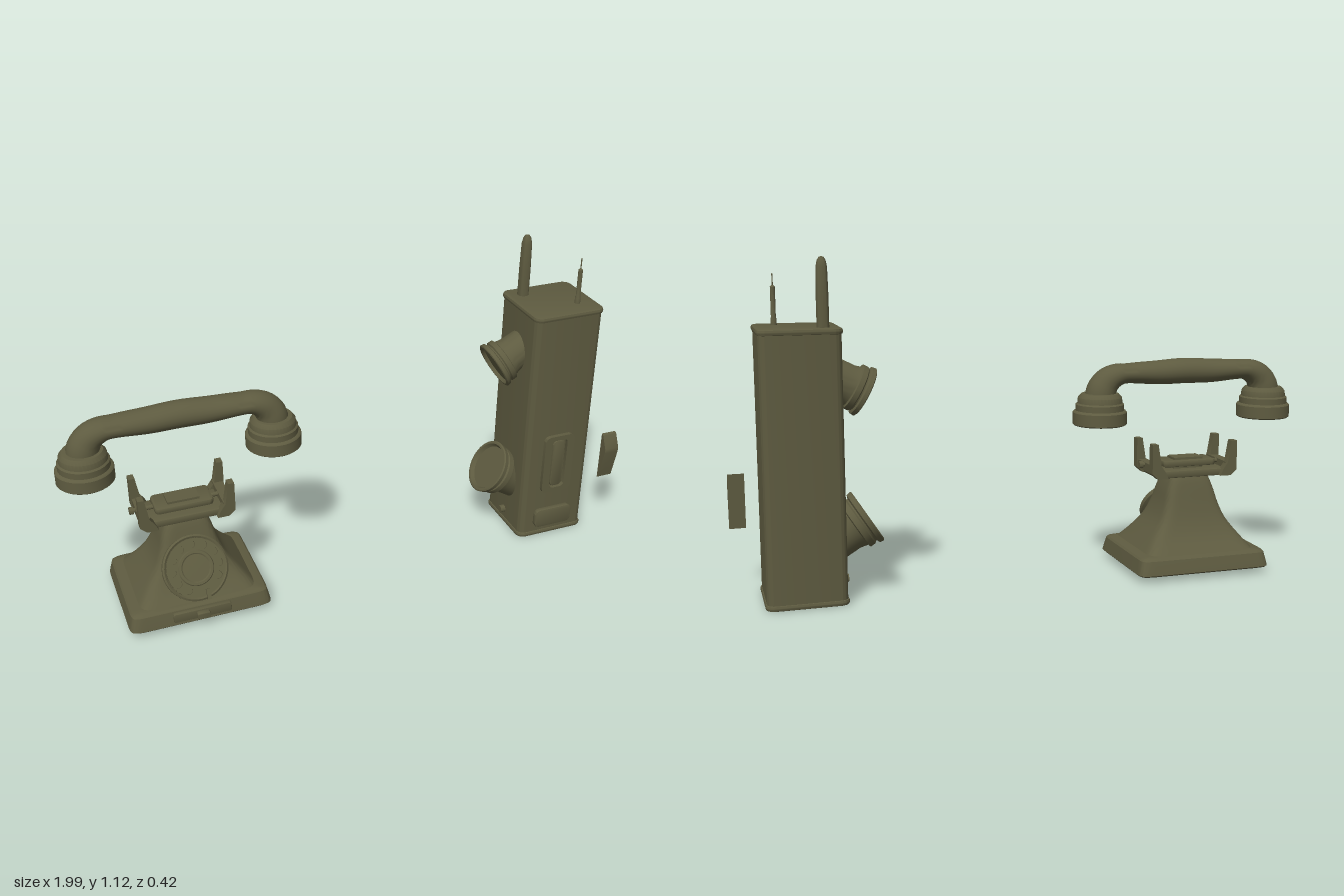
import * as THREE from 'three';
import { toCreasedNormals } from 'three/addons/utils/BufferGeometryUtils.js';

const material = new THREE.MeshStandardMaterial({ color: 0x5e5b40 });
const V3 = (x, y, z) => new THREE.Vector3(x, y, z);
const UP = V3(0, 1, 0);

function add(parent, name, geometry, x = 0, y = 0, z = 0, crease = 0.6) {
  const mesh = new THREE.Mesh(toCreasedNormals(geometry, crease), material);
  mesh.name = name;
  mesh.position.set(x, y, z);
  parent.add(mesh);
  return mesh;
}

const lathe = (pts, segs = 40) =>
  new THREE.LatheGeometry(pts.map(([r, y]) => new THREE.Vector2(r, y)), segs);
const box = (w, h, d) => new THREE.BoxGeometry(w, h, d);
const polygon = pts => new THREE.Shape(pts.map(([x, y]) => new THREE.Vector2(x, y)));

function roundedRect(w, h, r) {
  const s = new THREE.Shape(), a = w / 2 - r, b = h / 2 - r;
  s.absarc(a, b, r, 0, Math.PI / 2);
  s.absarc(-a, b, r, Math.PI / 2, Math.PI);
  s.absarc(-a, -b, r, Math.PI, Math.PI * 1.5);
  s.absarc(a, -b, r, Math.PI * 1.5, Math.PI * 2);
  s.closePath();
  return s;
}

// Rounded plate from z = 0 to z = depth, with bevelled rims; w and h are outer sizes
function plate(w, h, depth, r, bevel = 0) {
  return new THREE.ExtrudeGeometry(roundedRect(w - 2 * bevel, h - 2 * bevel, r), {
    depth: depth - 2 * bevel, bevelEnabled: bevel > 0, bevelSize: bevel,
    bevelThickness: bevel, bevelSegments: 2, curveSegments: 8,
  }).translate(0, 0, bevel);
}
const upright = g => g.rotateX(-Math.PI / 2);

// Skin over a list of equal-length rings, closed at both ends
function loft(rings) {
  const n = rings[0].length, pos = [], index = [];
  rings.forEach(r => r.forEach(p => pos.push(p.x, p.y, p.z)));
  for (let i = 0; i < rings.length - 1; i++)
    for (let j = 0; j < n; j++) {
      const k = (j + 1) % n, a = i * n + j, b = i * n + k;
      index.push(a, b, b + n, a, b + n, a + n);
    }
  const last = (rings.length - 1) * n;
  for (let j = 1; j < n - 1; j++) index.push(0, j + 1, j, last, last + j, last + j + 1);
  const g = new THREE.BufferGeometry();
  g.setAttribute('position', new THREE.Float32BufferAttribute(pos, 3));
  g.setIndex(index);
  return g;
}

// Horizontal rounded-square ring
function squareRing(hx, y, hz, power = 0.25) {
  const bend = v => Math.sign(v) * Math.pow(Math.abs(v), power);
  return Array.from({ length: 48 }, (_, i) => {
    const a = (i / 48) * Math.PI * 2;
    return V3(hx * bend(Math.sin(a)), y, hz * bend(Math.cos(a)));
  });
}

function rotaryDial() {
  const g = new THREE.Group();
  g.name = 'rotaryDial';
  add(g, 'dialMount', lathe([[0, -0.1], [0.085, -0.1], [0.095, -0.03], [0.112, -0.024],
    [0.112, -0.008], [0.106, -0.003], [0.1, -0.008], [0, -0.008]]));
  const wheel = new THREE.Shape().absarc(0, 0, 0.1, 0, Math.PI * 2);
  for (let i = 0; i < 10; i++) {
    const a = -0.5 + (i / 12) * Math.PI * 2;
    wheel.holes.push(new THREE.Path().absarc(0.08 * Math.cos(a), 0.08 * Math.sin(a), 0.013, 0, Math.PI * 2, true));
  }
  add(g, 'fingerWheel', upright(new THREE.ExtrudeGeometry(wheel, { depth: 0.008, bevelEnabled: false, curveSegments: 16 })), 0, -0.007);
  add(g, 'dialCentre', lathe([[0.062, 0], [0.058, 0.005], [0.05, 0.005], [0.046, 0.002], [0, 0.004]]));
  add(g, 'fingerStop', box(0.014, 0.014, 0.035), 0.025, 0.004, 0.094);
  g.quaternion.setFromUnitVectors(UP, V3(0, 0.53, 0.85).normalize());
  g.position.set(0, 0.203, 0.145);
  return g;
}

function cradle() {
  const g = new THREE.Group();
  g.name = 'cradle';
  add(g, 'cradleDeck', upright(plate(0.27, 0.14, 0.026, 0.01, 0.006)), 0, 0.34);
  add(g, 'cradlePlate', upright(plate(0.2, 0.1, 0.022, 0.01, 0.006)), 0, 0.375);
  add(g, 'cradleHump', box(0.11, 0.04, 0.06), 0, 0.385);
  add(g, 'cradlePin', new THREE.CylinderGeometry(0.008, 0.008, 0.34, 16).rotateZ(Math.PI / 2), 0, 0.382);
  const prong = polygon([[0.1, 0.342], [0.139, 0.342], [0.162, 0.362], [0.162, 0.467], [0.141, 0.467], [0.128, 0.39], [0.11, 0.364]]);
  for (const turn of [0, Math.PI]) {
    const end = new THREE.Group();
    end.name = 'cradleEnd';
    end.rotation.y = turn;
    for (const z of [-0.072, 0.072])
      add(end, 'prong', new THREE.ExtrudeGeometry(prong, { depth: 0.03, bevelEnabled: false }), 0, 0, z - 0.015);
    add(end, 'prongBridge', box(0.034, 0.03, 0.15), 0.141, 0.375);
    add(end, 'pinHead', new THREE.CylinderGeometry(0.013, 0.013, 0.014, 16).rotateZ(Math.PI / 2), 0.172, 0.382);
    g.add(end);
  }
  return g;
}

function handset() {
  const g = new THREE.Group();
  g.name = 'handset';
  const half = [[-0.317, 0.62], [-0.312, 0.655], [-0.288, 0.69], [-0.25, 0.709], [-0.2, 0.712], [-0.1, 0.711]];
  const pts = [...half, [0, 0.714], ...half.map(([x, y]) => [-x, y]).reverse()];
  const curve = new THREE.CatmullRomCurve3(pts.map(([x, y]) => V3(x, y, 0)));
  const rings = [];
  for (let i = 0; i <= 60; i++) {
    const t = i / 60, p = curve.getPointAt(t), d = curve.getTangentAt(t);
    const s = Math.abs(2 * t - 1);
    const r = 0.034 + 0.011 * Math.cos(Math.min(s / 0.6, 1) * Math.PI / 2) + 0.02 * THREE.MathUtils.smoothstep(s, 0.55, 0.95);
    const rz = Math.max(r, 0.05);
    rings.push(Array.from({ length: 24 }, (_, j) => {
      const a = (j / 24) * Math.PI * 2, c = r * Math.cos(a);
      return V3(p.x - d.y * c, p.y + d.x * c, rz * Math.sin(a));
    }));
  }
  add(g, 'handle', loft(rings), 0, 0, 0, 1);
  for (const side of [-1, 1])
    add(g, side < 0 ? 'earpiece' : 'mouthpiece', lathe([[0, 0.542], [0.086, 0.542], [0.09, 0.535], [0.095, 0.539],
      [0.095, 0.58], [0.091, 0.585], [0.085, 0.587], [0.085, 0.608], [0.079, 0.613], [0.077, 0.632], [0.066, 0.645], [0, 0.65]]), side * 0.317);
  g.position.x = 0.012;
  return g;
}

function telephone() {
  const g = new THREE.Group();
  g.name = 'telephone';
  // Foot with sloping rim
  add(g, 'base', loft([[0.241, 0.025, 0.197], [0.246, 0.03, 0.202], [0.243, 0.045, 0.199], [0.236, 0.078, 0.19], [0.23, 0.084, 0.184],
    [0.2, 0.09, 0.17]].map(([x, y, z]) => squareRing(x, y, z, 0.12))), 0, 0, 0, 0.5);
  // Concave four-sided housing
  const profile = new THREE.CatmullRomCurve3([[0.205, 0.084, 0.178], [0.165, 0.135, 0.135], [0.125, 0.19, 0.106],
    [0.102, 0.245, 0.088], [0.09, 0.29, 0.076], [0.078, 0.325, 0.066], [0.07, 0.345, 0.058]].map(p => V3(...p)));
  add(g, 'housing', loft(profile.getPoints(18).map((p, i) => squareRing(p.x, p.y, p.z, 0.2 + i * 0.012))), 0, 0, 0, 0.7);
  add(g, 'drawer', plate(0.2, 0.034, 0.03, 0.004, 0.003), 0, 0.056, 0.174);
  add(g, 'drawerHandle', plate(0.045, 0.024, 0.03, 0.004, 0.003), 0, 0.056, 0.192);
  g.add(rotaryDial(), cradle(), handset());
  g.position.set(-0.595, 0, -0.01);
  return g;
}

function fieldRadio() {
  const g = new THREE.Group();
  g.name = 'fieldRadio';
  add(g, 'case', upright(plate(0.26, 0.262, 0.88, 0.026)), 0, 0.012);
  for (const [name, y] of [['bottomCap', 0.004], ['topCap', 0.885]])
    add(g, name, upright(plate(0.27, 0.272, 0.02, 0.022, 0.008)), 0, y);
  add(g, 'mainAntenna', lathe([[0.02, 0.9], [0.02, 1.0], [0.018, 1.095], [0.014, 1.115], [0.008, 1.125], [0, 1.128]], 24), -0.076, 0, -0.078);
  add(g, 'whipAntenna', lathe([[0.01, 0.9], [0.01, 0.925], [0.008, 0.93], [0.008, 1.028], [0.002, 1.034], [0.002, 1.07], [0, 1.071]], 16), 0.065, 0, 0.057);

  // Flared listening and speaking horns
  const horn = [[0, -0.18], [0.062, -0.18], [0.064, -0.07], [0.07, -0.048], [0.079, -0.045], [0.079, -0.028], [0.074, -0.024],
    [0.074, -0.02], [0.084, -0.016], [0.086, -0.003], [0.082, 0], [0.076, 0], [0.07, -0.012], [0, -0.012]];
  for (const [name, y, dx, dy, k] of [['upperHorn', 0.682, -0.88, -0.475, 1], ['lowerHorn', 0.267, -0.84, 0.54, 1.15]]) {
    const m = add(g, name, lathe(horn.map(([r, h]) => [r * k, h * k])), -0.217, y, 0);
    m.quaternion.setFromUnitVectors(UP, V3(dx, dy, 0).normalize());
  }
  add(g, 'sideKnob', new THREE.CylinderGeometry(0.014, 0.014, 0.03, 20).rotateZ(Math.PI / 2), -0.133, 0.058, 0);

  // Front panels: a frame with a raised slot, and a small plate below
  const frame = roundedRect(0.118, 0.235, 0.022);
  frame.holes.push(roundedRect(0.062, 0.2, 0.016));
  add(g, 'talkFrame', new THREE.ExtrudeGeometry(frame, { depth: 0.02, bevelEnabled: false, curveSegments: 8 }), -0.002, 0.312, 0.126);
  add(g, 'talkSlot', plate(0.048, 0.19, 0.018, 0.014, 0.003), -0.002, 0.312, 0.124);
  add(g, 'lowerPanel', plate(0.15, 0.074, 0.022, 0.016, 0.004), -0.002, 0.083, 0.126);
  g.position.set(0.772, 0, -0.007);
  return g;
}

export function createModel() {
  const model = new THREE.Group();
  model.name = 'fieldPhones';
  // Detached talk lever, wedge-shaped in side view
  const lever = polygon([[-0.139, 0.404], [-0.139, 0.217], [-0.146, 0.222], [-0.171, 0.335], [-0.172, 0.352], [-0.148, 0.4]].reverse());
  const leverGeo = new THREE.ExtrudeGeometry(lever, { depth: 0.055, bevelEnabled: false }).rotateY(Math.PI / 2);
  model.add(telephone(), fieldRadio());
  add(model, 'talkLever', leverGeo, 0.944);
  return model;
}
